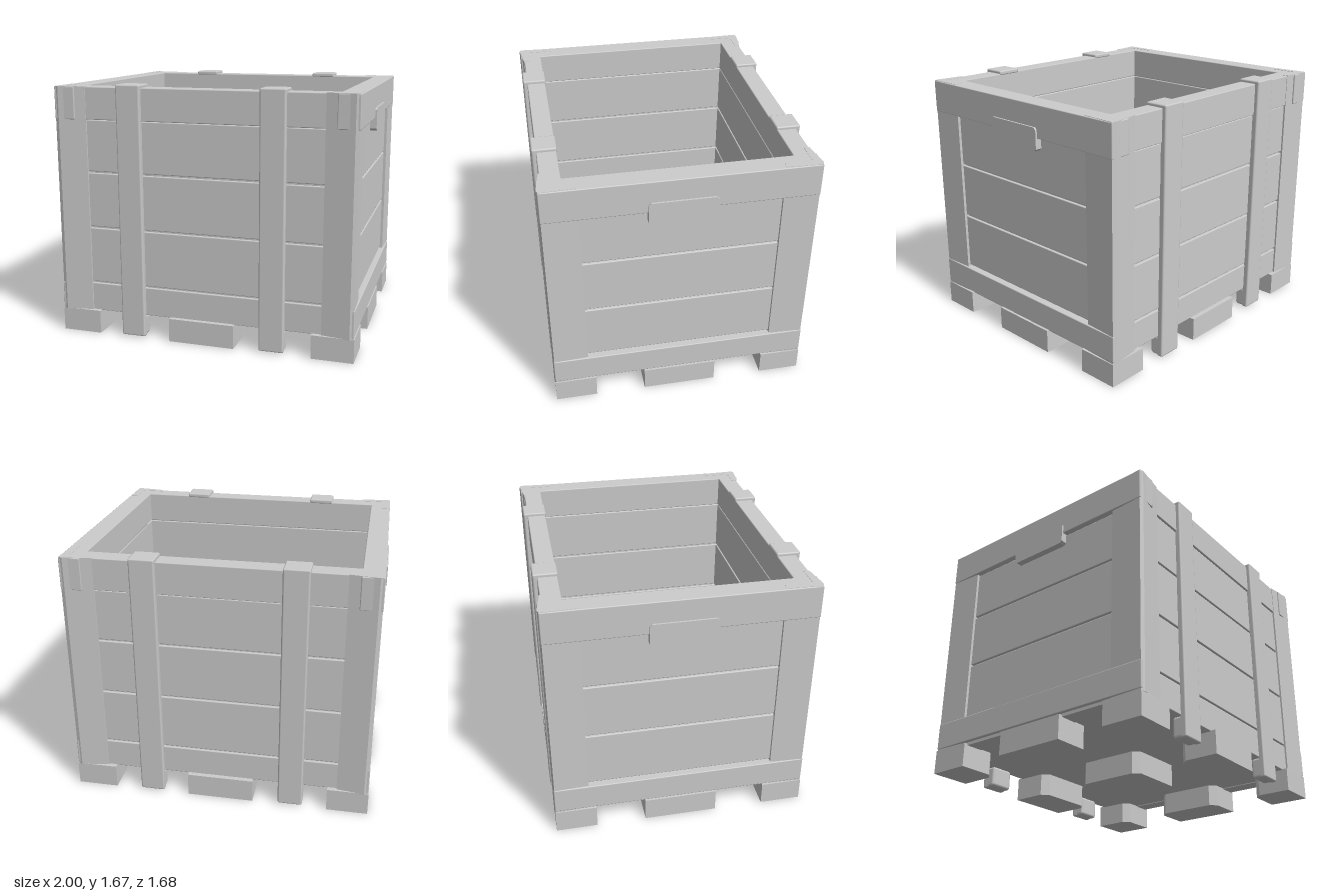
import * as THREE from 'three';
import { RoundedBoxGeometry } from 'three/addons/geometries/RoundedBoxGeometry.js';

export function createModel() {
  const crate = new THREE.Group();
  crate.name = 'crate';
  const grey = new THREE.MeshStandardMaterial({ color: 0xcccccc });
  grey.name = 'crate grey';

  const add = (name, geometry) => {
    const mesh = new THREE.Mesh(geometry, grey);
    mesh.name = name;
    crate.add(mesh);
    return mesh;
  };
  // Bevelled board given by its extents along each axis
  const board = (name, [x0, x1], [y0, y1], [z0, z1], bevel = 0.006) => {
    const w = Math.abs(x1 - x0), h = y1 - y0, d = Math.abs(z1 - z0);
    const g = bevel ? new RoundedBoxGeometry(w, h, d, 1, bevel) : new THREE.BoxGeometry(w, h, d);
    return add(name, g.translate((x0 + x1) / 2, (y0 + y1) / 2, (z0 + z1) / 2));
  };
  // Upright prism from a plan outline of [x, z] points
  const prism = (name, plan, y0, y1) => {
    const shape = new THREE.Shape(plan.map(([x, z]) => new THREE.Vector2(x, -z)));
    const g = new THREE.ExtrudeGeometry(shape, { depth: y1 - y0, bevelEnabled: false });
    return add(name, g.rotateX(-Math.PI / 2).translate(0, y0, 0));
  };

  // Floor
  board('floor', [-0.93, 0.93], [0.15, 0.19], [-0.78, 0.78], 0);

  // Planked walls around a thin core that shows in the grooves
  const rows = [[0.15, 0.34], [0.352, 0.72], [0.732, 1.09], [1.102, 1.437]];
  for (const s of [-1, 1]) {
    board('wallCoreLong', [-0.93, 0.93], [0.16, 1.5], [s * 0.7, s * 0.787], 0);
    board('wallCoreEnd', [s * 0.86, s * 0.94], [0.16, 1.5], [-0.77, 0.77], 0);
    for (const row of rows) {
      board('longPlank', [-0.94, 0.94], row, [s * 0.69, s * 0.803]);
      board('endPlank', [s * 0.85, s * 0.957], row, [-0.79, 0.79]);
    }
    // Top rim and lower end boards
    board('topRimLong', [-0.98, 0.98], [1.44, 1.65], [s * 0.69, s * 0.812]);
    board('topRimEnd', [s * 0.85, s * 0.988], [1.44, 1.65], [-0.835, 0.835]);
    board('lowerEndBoard', [s * 0.93, s * 0.988], [0.165, 0.34], [-0.835, 0.835]);
    board('lowerSill', [s * 0.85, s * 0.965], [0.145, 0.17], [-0.8, 0.8], 0);
  }

  // Corner posts wrapping both faces, slightly thicker at the corner
  for (const sx of [-1, 1]) for (const sz of [-1, 1]) {
    const plan = [[0.78, 0.78], [0.78, 0.815], [0.96, 0.84], [0.985, 0.83],
      [0.975, 0.61], [0.93, 0.61], [0.93, 0.78]];
    prism('cornerPost', plan.map(([x, z]) => [sx * x, sz * z]), 0.15, 1.652);
  }

  // Vertical straps hooked over the rim and ending in stub feet
  for (const x of [-0.477, 0.463]) for (const s of [-1, 1]) {
    const span = [x - 0.082, x + 0.082];
    board('strap', span, [0.01, 1.668], [s * 0.795, s * 0.84], 0.012);
    board('strapHook', span, [1.64, 1.67], [s * 0.685, s * 0.84], 0.01);
    board('strapFoot', span, [0.012, 0.15], [s * 0.74, s * 0.838], 0.02);
  }

  // Chamfered handle plates on both ends
  const handle = new THREE.Shape([[-0.21, -0.06], [-0.195, -0.075], [0.195, -0.075], [0.21, -0.06],
    [0.21, 0.06], [0.195, 0.075], [-0.195, 0.075], [-0.21, 0.06]].map(p => new THREE.Vector2(...p)));
  for (const s of [-1, 1]) {
    const g = new THREE.ExtrudeGeometry(handle, { depth: 0.045, bevelEnabled: false });
    add('handlePlate', g.rotateY(s * Math.PI / 2).translate(s * 0.955, 1.435, 0));
  }

  // Three by three feet; corners facing inwards are chamfered
  const xs = [[-0.99, -0.72], [-0.225, 0.215], [0.72, 0.99]];
  const zs = [[-0.835, -0.565], [-0.24, 0.24], [0.565, 0.835]];
  xs.forEach(([x0, x1], i) => zs.forEach(([z0, z1], j) => {
    const c = 0.045;
    const plan = [];
    for (const [x, z, a, b, xFirst] of [[x0, z0, 1, 1, false], [x1, z0, -1, 1, true],
      [x1, z1, -1, -1, false], [x0, z1, 1, -1, true]]) {
      const outer = Math.abs(x) > 0.9 || Math.abs(z) > 0.8;
      if (outer) plan.push([x, z]);
      else {
        const pair = [[x, z + b * c], [x + a * c, z]];
        plan.push(...(xFirst ? pair.reverse() : pair));
      }
    }
    prism(i === 1 && j === 1 ? 'centreFoot' : 'foot', plan, 0, 0.155);
  }));

  return crate;
}
